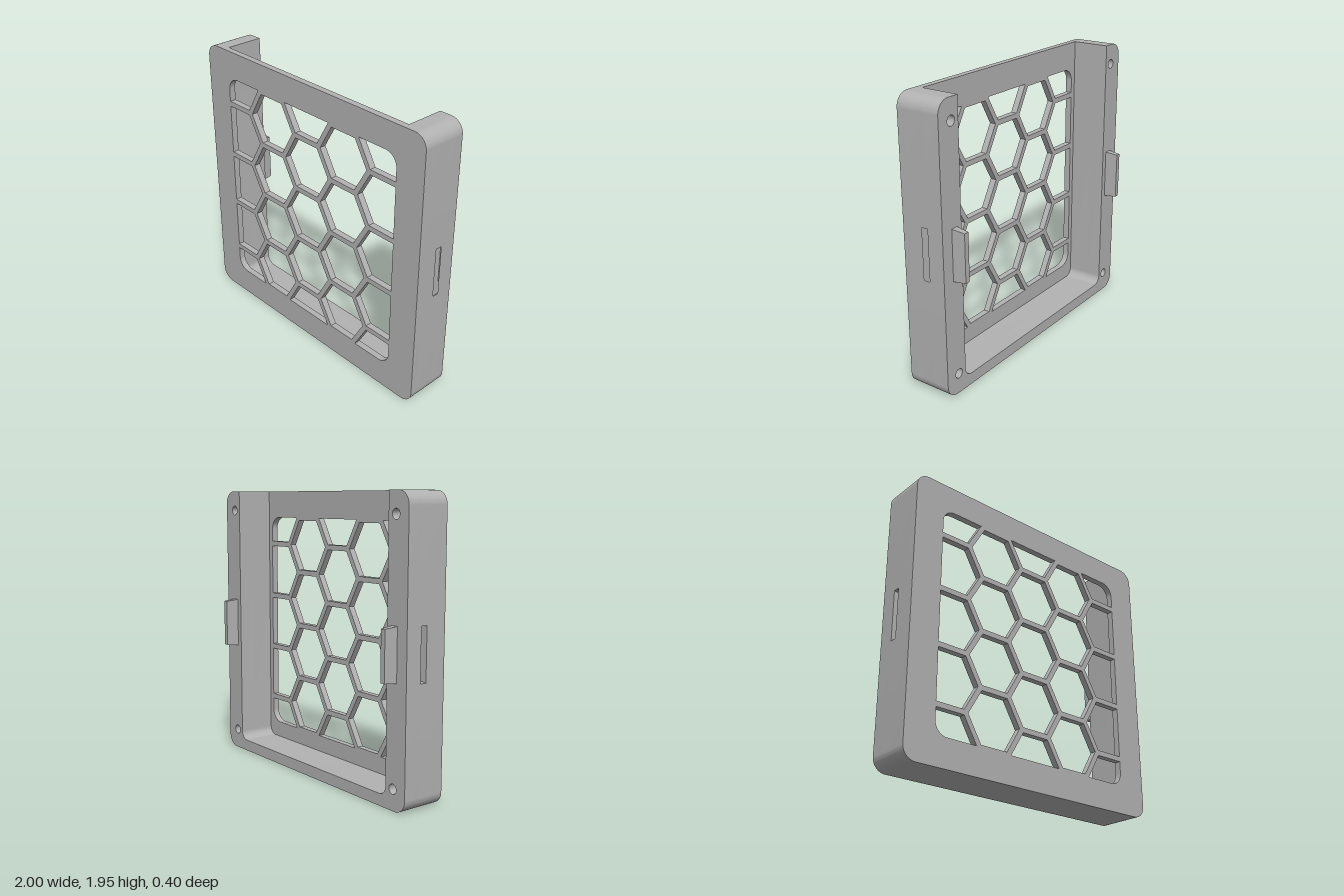
import * as THREE from 'three';
import { toCreasedNormals } from 'three/addons/utils/BufferGeometryUtils.js';

const W = 1, H = 1.95, MID = H / 2, R = 0.09;         // half width, height, corner radius
const BACK = -0.11, PLATE = 0.155, FRONT = 0.2;       // depth levels
const ARM = 0.825, FLOOR = 0.08, RI = 0.06;           // inside of the channel
const FIX_X = 0.89;                                   // tabs and screw holes
const SLOT = { y0: 0.8, y1: 1.15, z0: 0.005, z1: 0.05, depth: 0.09 };
const BLOCK = { y0: 0.7, y1: 1.25 };                  // side insert that carries the slot

const grey = new THREE.MeshStandardMaterial({ color: 0xb2b2b2 });
grey.name = 'grey';

function mesh(name, geometry) {
  const m = new THREE.Mesh(geometry, grey);
  m.name = name;
  return m;
}

function extrude(shape, z0, z1) {
  const g = new THREE.ExtrudeGeometry(shape, { depth: z1 - z0, bevelEnabled: false, curveSegments: 10 });
  g.translate(0, 0, z0);
  return toCreasedNormals(g, 0.6);
}

function roundedRect(path, x0, y0, x1, y1, r) {
  path.moveTo(x0 + r, y0);
  path.absarc(x1 - r, y0 + r, r, -Math.PI / 2, 0);
  path.absarc(x1 - r, y1 - r, r, 0, Math.PI / 2);
  path.absarc(x0 + r, y1 - r, r, Math.PI / 2, Math.PI);
  path.absarc(x0 + r, y0 + r, r, Math.PI, Math.PI * 1.5);
  path.closePath();
  return path;
}

// U-shaped body, open at the top, notched on both sides for the slot blocks
function channelShape(withHoles) {
  const n = W - SLOT.depth, q = Math.PI / 2;
  const s = new THREE.Shape();
  s.moveTo(-W + R, 0);
  s.absarc(W - R, R, R, -q, 0);
  s.lineTo(W, BLOCK.y0);
  s.lineTo(n, BLOCK.y0);
  s.lineTo(n, BLOCK.y1);
  s.lineTo(W, BLOCK.y1);
  s.absarc(W - R, H - R, R, 0, q);
  s.lineTo(ARM, H);
  s.absarc(ARM - RI, FLOOR + RI, RI, 0, -q, true);
  s.absarc(-ARM + RI, FLOOR + RI, RI, -q, -2 * q, true);
  s.lineTo(-ARM, H);
  s.absarc(-W + R, H - R, R, q, 2 * q);
  s.lineTo(-W, BLOCK.y1);
  s.lineTo(-n, BLOCK.y1);
  s.lineTo(-n, BLOCK.y0);
  s.lineTo(-W, BLOCK.y0);
  s.absarc(-W + R, R, R, 2 * q, 3 * q);
  if (withHoles) {
    for (const x of [-FIX_X, FIX_X]) for (const y of [MID - 0.835, MID + 0.835]) {
      s.holes.push(new THREE.Path().absarc(x, y, 0.033, 0, Math.PI * 2, true));
    }
  }
  return s;
}

// Side insert with a slot that narrows towards its bottom
function slotBlock(side) {
  const rect = (path, z0, z1, y0, y1) => path.setFromPoints(
    [[z0, y0], [z1, y0], [z1, y1], [z0, y1]].map(([z, y]) => new THREE.Vector2(-side * z, y)));
  const s = rect(new THREE.Shape(), BACK, PLATE, BLOCK.y0, BLOCK.y1);
  s.holes.push(rect(new THREE.Path(), SLOT.z0, SLOT.z1, SLOT.y0, SLOT.y1));
  const g = new THREE.ExtrudeGeometry(s, { depth: SLOT.depth, bevelEnabled: false });
  const p = g.attributes.position;
  const cx = -side * (SLOT.z0 + SLOT.z1) / 2, cy = (SLOT.y0 + SLOT.y1) / 2;
  for (let i = 0; i < p.count; i++) {
    const inSlot = Math.abs(p.getX(i) - cx) < 0.03 && Math.abs(p.getY(i) - cy) < 0.2;
    if (inSlot && p.getZ(i) < 0.001) {
      p.setXY(i, cx + (p.getX(i) - cx) * 0.75, cy + (p.getY(i) - cy) * 0.93);
    }
  }
  g.computeVertexNormals();
  g.rotateY(side * Math.PI / 2);
  g.translate(side * (W - SLOT.depth), 0, 0);
  return g;
}

// Locating tab, tapered towards its back end
function tab() {
  const g = new THREE.BoxGeometry(0.05, 0.35, 0.1).toNonIndexed();
  const p = g.attributes.position;
  for (let i = 0; i < p.count; i++) {
    if (p.getZ(i) < 0) p.setXY(i, p.getX(i) * 0.72, p.getY(i) * 0.94);
  }
  g.computeVertexNormals();
  return g;
}

function hexagon(path, r) {
  return path.setFromPoints(Array.from({ length: 6 }, (_, i) =>
    new THREE.Vector2(r * Math.cos(i * Math.PI / 3), r * Math.sin(i * Math.PI / 3))));
}

// Honeycomb: two columns of hexagonal rings joined by short bars
function grille() {
  const group = new THREE.Group();
  group.name = 'grille';
  const pitch = 0.392, bar = 0.036, depth = FRONT - PLATE;
  const col = pitch * Math.sqrt(3) / 2, corner = pitch / Math.sqrt(3);
  const ring = hexagon(new THREE.Shape(), (pitch + bar) / Math.sqrt(3));
  ring.holes.push(hexagon(new THREE.Path(), (pitch - bar) / Math.sqrt(3)));
  const ringGeo = extrude(ring, PLATE, FRONT);
  const addBar = (x0, x1, y) => {
    const b = mesh('grilleBar', new THREE.BoxGeometry(x1 - x0, bar, depth));
    b.position.set((x0 + x1) / 2, y, (PLATE + FRONT) / 2);
    group.add(b);
  };
  for (let row = 0; row < 4; row++) {
    const y = MID + (row - 1.5) * pitch;
    for (const side of [-1, 1]) {
      const r = mesh('grilleCell', ringGeo);
      r.position.set(side * col, y, 0);
      group.add(r);
    }
    addBar(-0.8, -col - corner, y);
    addBar(corner - col, col - corner, y);
    addBar(col + corner, 0.8, y);
  }
  return group;
}

export function createModel() {
  const model = new THREE.Group();
  model.name = 'ventFrame';

  // Front plate with its rounded opening
  const plate = roundedRect(new THREE.Shape(), -W, 0, W, H, R);
  plate.holes.push(roundedRect(new THREE.Path(), -0.785, 0.195, 0.785, 1.76, R));
  model.add(mesh('frontPlate', extrude(plate, PLATE, FRONT)));
  model.add(grille());

  // Channel body; the screw holes are blind, so only the back layer has them
  model.add(mesh('channelBody', extrude(channelShape(false), 0, PLATE)));
  model.add(mesh('channelBack', extrude(channelShape(true), BACK, 0)));

  // Slots and tabs on both sides
  for (const side of [-1, 1]) {
    const name = side > 0 ? 'left' : 'right';
    model.add(mesh(name + 'SlotBlock', slotBlock(side)));
    const t = mesh(name + 'Tab', tab());
    t.position.set(side * FIX_X, MID, -0.152);
    model.add(t);
  }
  return model;
}
